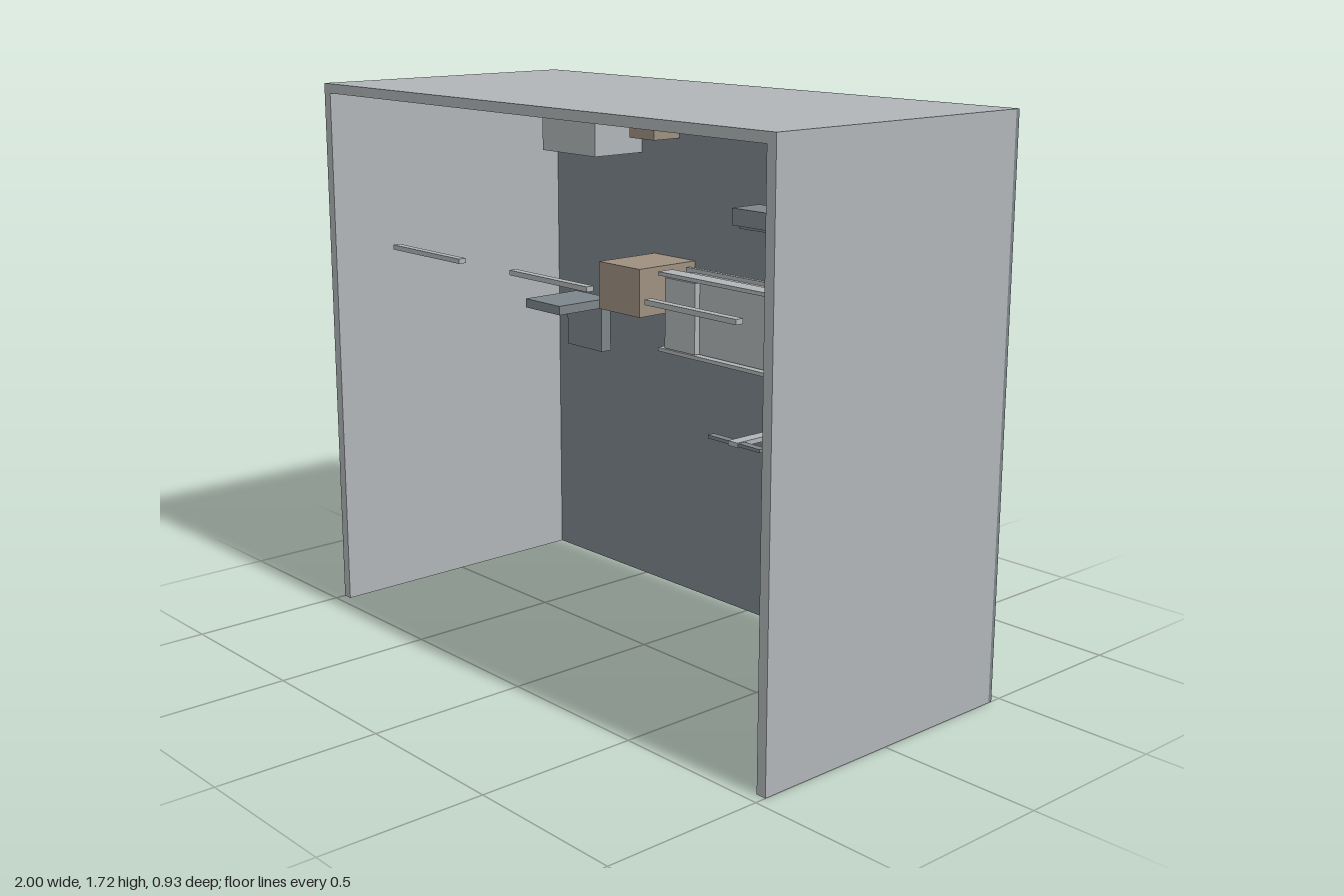
import * as THREE from 'three';

const mat = (name, color) => {
  const m = new THREE.MeshStandardMaterial({ color });
  m.name = name;
  return m;
};

export function createModel() {
  const light = mat('lightGrey', 0xb1b5b7);
  const slate = mat('slateGrey', 0x7c868a);
  const tan = mat('tan', 0x9d9080);
  const model = new THREE.Group();
  model.name = 'openCabinet';

  // Box given by its extents on each axis
  const box = (name, material, [x0, x1], [y0, y1], [z0, z1], parent = model) => {
    const mesh = new THREE.Mesh(new THREE.BoxGeometry(x1 - x0, y1 - y0, z1 - z0), material);
    mesh.position.set((x0 + x1) / 2, (y0 + y1) / 2, (z0 + z1) / 2);
    mesh.name = name;
    parent.add(mesh);
    return mesh;
  };
  const group = (name) => {
    const g = new THREE.Group();
    g.name = name;
    model.add(g);
    return g;
  };

  // Shell: back, roof and two sides, open at the front and below
  const wall = -0.452, front = 0.465;
  box('backPanel', slate, [-1, 1], [0, 1.715], [-0.465, wall]);
  box('roofPanel', light, [-1, 1], [1.685, 1.715], [wall, front]);
  box('rightSidePanel', light, [-1, -0.968], [0, 1.685], [wall, front]);
  box('leftSidePanel', light, [0.968, 1], [0, 1.685], [wall, front]);

  // Row of three bar handles near the front
  for (const x of [-0.605, 0, 0.597]) {
    box('barHandle', light, [x - 0.177, x + 0.177], [1.2, 1.215], [0.345, 0.37]);
  }

  // Framed unit with a raised side panel
  const unit = group('framedUnit');
  box('unitBackPlate', light, [-0.16, 0.467], [0.89, 1.145], [-0.335, -0.32], unit);
  box('unitBody', light, [-0.13, 0.437], [0.904, 1.132], [-0.32, -0.22], unit);
  box('unitSidePanel', light, [-0.128, 0.01], [0.905, 1.13], [-0.22, -0.2], unit);
  for (const y of [0.89, 1.133]) {
    box('unitRail', light, [-0.16, 0.467], [y, y + 0.012], [-0.26, -0.2], unit);
  }

  // Tan boxes
  box('largeBox', tan, [-0.46, -0.26], [0.98, 1.137], [wall, -0.21]);
  box('smallBox', tan, [-0.457, -0.337], [1.53, 1.617], [wall, -0.34]);

  // Seat: slab overhanging a pedestal
  const seat = group('seat');
  box('seatSlab', slate, [-0.735, -0.555], [0.955, 0.985], [-0.34, -0.12], seat);
  box('seatPedestal', slate, [-0.735, -0.555], [0.805, 0.955], [-0.34, -0.3], seat);

  // Hood with a narrow lip underneath
  const hood = group('hood');
  box('hoodBody', slate, [0.46, 0.653], [1.392, 1.44], [-0.02, 0.083], hood);
  box('hoodLip', slate, [0.477, 0.637], [1.384, 1.392], [-0.01, 0.073], hood);

  // Crossbar on a long rod
  const cross = group('crossbar');
  box('crossbarBlade', slate, [0.378, 0.587], [0.768, 0.778], [0.065, 0.09], cross);
  box('crossbarRod', light, [0.465, 0.503], [0.766, 0.78], [-0.22, 0.094], cross);

  // Units hung under the roof
  const upper = group('upperUnits');
  box('upperBox', light, [-0.797, -0.523], [1.468, 1.623], [wall, -0.25], upper);
  box('upperBoxLid', light, [-0.743, -0.58], [1.623, 1.655], [wall, -0.28], upper);
  box('upperRightStrip', slate, [-0.88, -0.665], [1.657, 1.667], [wall, -0.3], upper);
  box('upperCentreStrip', light, [-0.235, 0.23], [1.667, 1.678], [wall, -0.3], upper);
  box('upperBlock', light, [0.227, 0.397], [1.625, 1.655], [wall, -0.3], upper);
  box('upperLeftBox', slate, [0.555, 0.898], [1.52, 1.655], [wall, -0.25], upper);
  box('upperLeftStrip', slate, [0.548, 0.705], [1.66, 1.671], [wall, -0.3], upper);

  return model;
}
